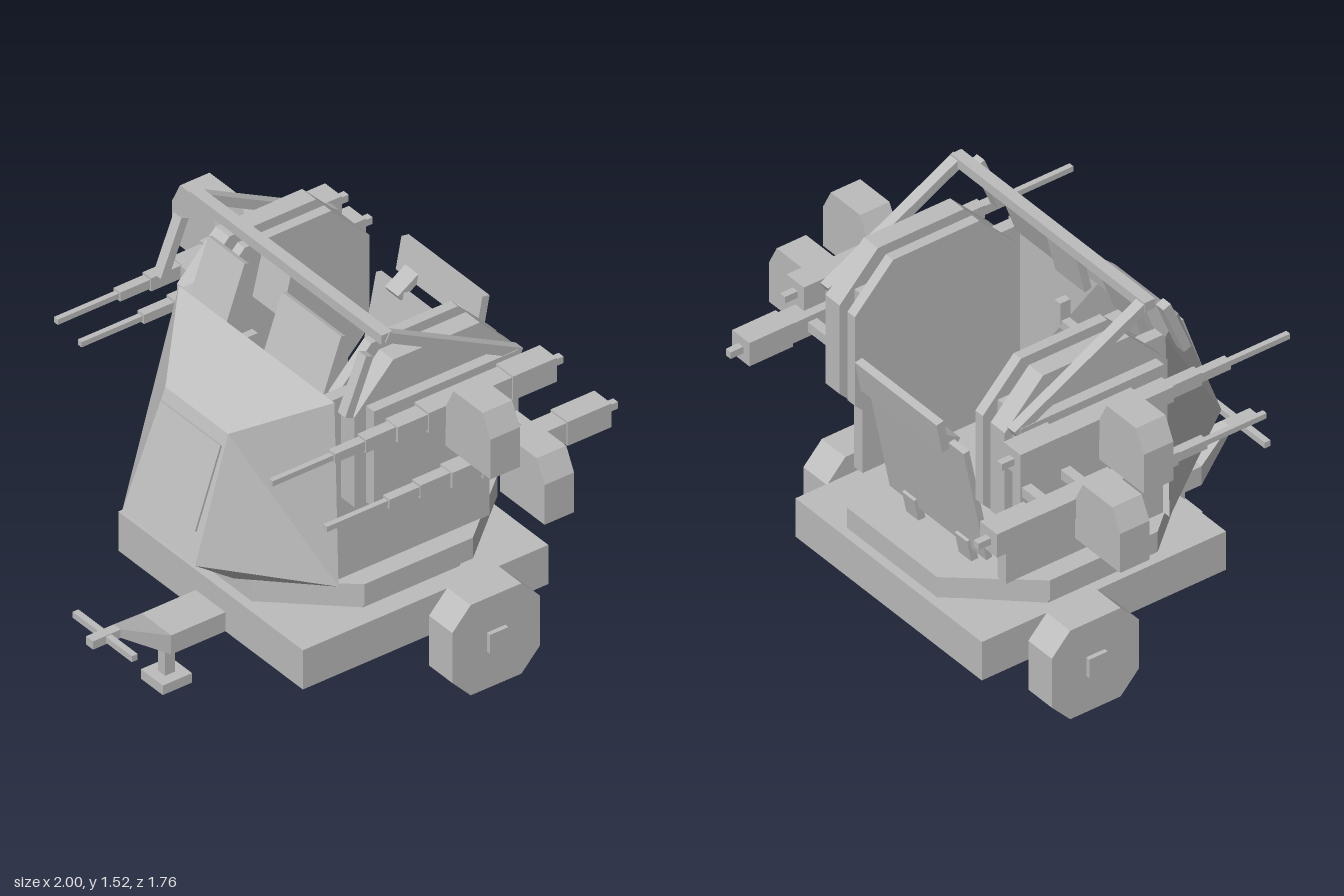
import * as THREE from 'three';

export function createModel() {
  const model = new THREE.Group();
  const grey = new THREE.MeshStandardMaterial({ color: 0xbcbcbc, flatShading: true, side: THREE.DoubleSide });
  grey.name = 'plain grey';

  const add = (name, geo, parent = model) => {
    const mesh = new THREE.Mesh(geo, grey);
    mesh.name = name;
    parent.add(mesh);
    return mesh;
  };
  // box given by its limits on each axis
  const box = (name, x0, x1, y0, y1, z0, z1, parent) =>
    add(name, new THREE.BoxGeometry(x1 - x0, y1 - y0, z1 - z0)
      .translate((x0 + x1) / 2, (y0 + y1) / 2, (z0 + z1) / 2), parent);
  const shapeOf = pts => new THREE.Shape(pts.map(p => new THREE.Vector2(p[0], p[1])));
  const extrude = (shape, depth) => new THREE.ExtrudeGeometry(shape, { depth, bevelEnabled: false });
  // side profile of [z, y] points, stretched from x0 to x1
  const prism = (name, x0, x1, pts, parent) =>
    add(name, extrude(shapeOf(pts), x1 - x0).rotateY(-Math.PI / 2).translate(x1, 0, 0), parent);
  // flat strip between two [z, y] points
  const slab = (name, x0, x1, a, b, t, parent) => {
    const l = Math.hypot(b[0] - a[0], b[1] - a[1]);
    const n = [-(b[1] - a[1]) / l * t, (b[0] - a[0]) / l * t];
    return prism(name, x0, x1, [a, b, [b[0] + n[0], b[1] + n[1]], [a[0] + n[0], a[1] + n[1]]], parent);
  };
  // octagon with half sizes (a, b) and half flats (fa, fb)
  const octagon = (cx, cy, a, b, fa, fb) =>
    [[fa, -b], [a, -fb], [a, fb], [fa, b], [-fa, b], [-a, fb], [-a, -fb], [-fa, -b]]
      .map(p => [cx + p[0], cy + p[1]]);
  // loft of four-sided sections [z, halfWidth, yBottom, yTop]
  const loft = (name, cx, sections, parent) => {
    const pos = [], index = [];
    sections.forEach(([z, w, y0, y1]) =>
      pos.push(cx - w, y0, z, cx + w, y0, z, cx + w, y1, z, cx - w, y1, z));
    for (let i = 0; i < sections.length - 1; i++)
      for (let k = 0; k < 4; k++) {
        const a = i * 4 + k, b = i * 4 + (k + 1) % 4;
        index.push(a, b, b + 4, a, b + 4, a + 4);
      }
    const e = (sections.length - 1) * 4;
    index.push(0, 2, 1, 0, 3, 2, e, e + 1, e + 2, e, e + 2, e + 3);
    const g = new THREE.BufferGeometry();
    g.setAttribute('position', new THREE.Float32BufferAttribute(pos, 3));
    g.setIndex(index);
    const flat = g.toNonIndexed();
    flat.computeVertexNormals();
    return add(name, flat, parent);
  };

  // trailer: hollow tray, axle, wheels
  const trailer = new THREE.Group();
  trailer.name = 'trailer';
  trailer.position.x = 0.02;
  model.add(trailer);
  box('trayTop', -0.53, 0.53, 0.29, 0.34, -0.71, 0.355, trailer);
  for (const s of [-1, 1]) {
    box('traySide', s * 0.505 - 0.025, s * 0.505 + 0.025, 0.175, 0.29, -0.71, 0.355, trailer);
    const z = s > 0 ? 0.305 : -0.71;
    box('trayEnd', -0.48, 0.48, 0.175, 0.29, z, z + 0.05, trailer);
    prism('wheel', s * 0.64 - 0.067, s * 0.64 + 0.067, octagon(-0.35, 0.19, 0.19, 0.19, 0.11, 0.105), trailer);
  }
  box('axle', -0.725, 0.725, 0.155, 0.235, -0.39, -0.31, trailer);

  // drawbar with handle and support leg
  loft('drawbar', 0, [[0.35, 0.085, 0.175, 0.255], [0.59, 0.085, 0.175, 0.255],
    [0.76, 0.02, 0.28, 0.315], [0.88, 0.02, 0.28, 0.315]], trailer);
  box('towHandle', -0.17, 0.17, 0.287, 0.312, 0.8, 0.825, trailer);
  box('supportLeg', -0.02, 0.02, 0.04, 0.2, 0.525, 0.568, trailer);
  box('supportFoot', -0.063, 0.063, 0, 0.04, 0.483, 0.61, trailer);

  // turntable rings
  const ring = (name, y0, y1, a, b, fa, fb) =>
    add(name, extrude(shapeOf(octagon(0, 0.178, a, b, fa, fb)), y1 - y0)
      .rotateX(-Math.PI / 2).translate(0, y0, 0));
  ring('lowerRing', 0.335, 0.39, 0.467, 0.485, 0.213, 0.21);
  ring('upperRing', 0.385, 0.472, 0.51, 0.533, 0.257, 0.235);

  // faceted front shield
  const P = { A: [0.447, 1.235, 0.14], M: [0.18, 1.065, 0.4], N: [0.21, 0.595, 0.565],
    B: [0.47, 0.474, 0.14], F: [0.21, 0.474, 0.4] };
  const R = k => P[k], L = k => [-P[k][0], P[k][1], P[k][2]];
  const tris = [];
  const face = pts => {
    for (let i = 1; i < pts.length - 1; i++) tris.push(...pts[0], ...pts[i], ...pts[i + 1]);
  };
  for (const [a, b] of ['AM', 'MN', 'NF', 'FB']) face([L(a), L(b), R(b), R(a)]);
  for (const f of ['MNBA', 'NFB']) {
    face([...f].map(R));
    face([...f].reverse().map(L));
  }
  const shield = new THREE.BufferGeometry();
  shield.setAttribute('position', new THREE.Float32BufferAttribute(tris, 3));
  shield.computeVertexNormals();
  add('frontShield', shield);
  slab('shieldHatch', -0.172, 0.172, [0.53, 0.705], [0.42, 1.02], -0.008);

  // upper shield plates and hanging sight plate
  slab('upperPlateRight', -0.385, -0.175, [0.14, 1.225], [0.06, 1.445], 0.02);
  slab('upperPlateLeft', 0.04, 0.38, [0.14, 1.225], [0.06, 1.445], 0.02);
  slab('sightPlate', -0.15, 0.018, [0.045, 1.315], [0.0, 1.5], 0.03);

  // overhead frame
  box('overheadBar', -0.555, 0.548, 1.48, 1.52, -0.035, 0.012);

  // operator controls behind the shield
  box('controlColumn', -0.09, -0.03, 1.02, 1.06, 0.05, 0.4);
  box('controlBar', -0.17, 0.04, 1.05, 1.085, 0.035, 0.07);
  for (const x of [-0.155, 0.025]) box('controlGrip', x - 0.016, x + 0.016, 1.07, 1.16, 0.03, 0.075);

  // seat back, leaning rearward, with headrest
  slab('seatBack', -0.34, 0.21, [-0.535, 0.53], [-0.635, 1.03], 0.025);
  for (const x of [-0.255, 0.045]) {
    slab('seatLeg', x, x + 0.07, [-0.53, 0.47], [-0.55, 0.57], 0.03);
    slab('headrestBracket', x, x + 0.075, [-0.625, 1.0], [-0.72, 1.06], -0.03);
  }
  slab('headrest', -0.3, 0.165, [-0.69, 1.04], [-0.715, 1.17], 0.032);

  // one gun: [zBack, zFront, width, height] per section
  const gunParts = [['gunTail', -0.885, -0.83, 0.028, 0.028], ['receiver', -0.83, -0.64, 0.098, 0.1],
    ['breech', -0.64, -0.28, 0.085, 0.085], ['cradle', -0.28, -0.15, 0.07, 0.065],
    ['sleeve', -0.15, -0.02, 0.048, 0.055], ['jacket', -0.02, 0.11, 0.038, 0.038],
    ['barrel', 0.11, 0.375, 0.022, 0.022]];

  for (const s of [1, -1]) {
    const tag = s > 0 ? 'left' : 'right';
    const sideGroup = new THREE.Group();
    sideGroup.name = tag + 'Side';
    model.add(sideGroup);
    const span = (a, b) => s > 0 ? [a, b] : [-b, -a];

    // side wall sandwiched between two octagonal armour plates
    box('sideWall', ...span(0.383, 0.432), 0.47, 1.235, -0.545, 0.14, sideGroup);
    const oct = octagon(-0.255, 1.003, 0.355, 0.362, 0.188, 0.19);
    prism('outerArmour', ...span(0.43, 0.51), oct, sideGroup);
    prism('innerArmour', ...span(0.343, 0.385), oct, sideGroup);
    box('gunMountPlate', ...span(0.5, 0.555), 0.815, 1.22, -0.575, 0.05, sideGroup);
    slab('frameStrut', ...span(0.508, 0.552), [-0.02, 1.52], [-0.6, 1.215], 0.038, sideGroup);
    slab('frameFrontStrut', ...span(0.508, 0.552), [0.05, 1.45], [0.14, 1.23], 0.035, sideGroup);

    // two guns with ammunition boxes
    for (const [name, x, y, dz, bx] of [['upper', 0.617, 1.162, 0.17, 0.657], ['lower', 0.705, 0.948, 0, 0.743]]) {
      const gun = new THREE.Group();
      gun.name = name + 'Gun';
      sideGroup.add(gun);
      for (const [part, z0, z1, w, h] of gunParts)
        box(part, s * x - w / 2, s * x + w / 2, y - h / 2, y + h / 2, z0 + dz, z1 + dz, gun);
      for (const z of [-0.55, -0.38])
        box('gunSupport', ...span(0.54, x), y - 0.02, y + 0.02, z - 0.02 + dz, z + 0.02 + dz, gun);
      const x1 = bx + 0.257, y0 = y - 0.127, y1 = y0 + 0.255;
      const pts = [[bx, y0], [x1, y0], [x1, y1 - 0.088], [x1 - 0.045, y1], [bx + 0.045, y1], [bx, y1 - 0.088]];
      const ammo = extrude(shapeOf(pts.map(p => [s * p[0], p[1]])), 0.128).translate(0, 0, -0.482 + dz);
      add('ammunitionBox', ammo, gun);
      box('ammunitionFeed', ...span(x, bx + 0.02), y - 0.03, y + 0.03, -0.45 + dz, -0.39 + dz, gun);
    }
  }
  return model;
}
